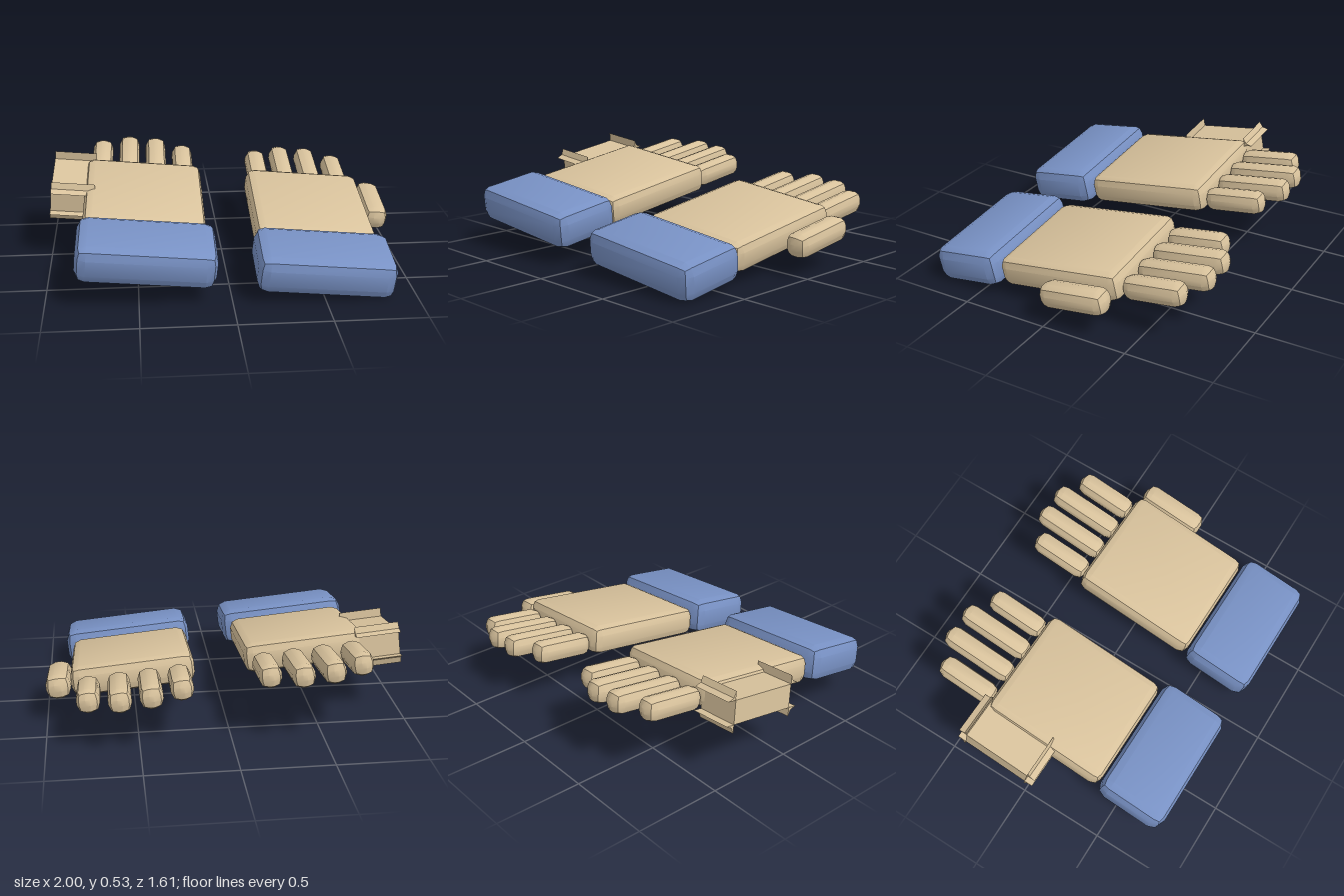
import * as THREE from 'three';
import { toCreasedNormals } from 'three/addons/utils/BufferGeometryUtils.js';
import { RoundedBoxGeometry } from 'three/addons/geometries/RoundedBoxGeometry.js';

export function createModel() {
  const root = new THREE.Group();
  root.name = 'pairOfGloves';

  const leather = new THREE.MeshStandardMaterial({ color: 0xd8c29c });
  leather.name = 'tan leather';
  const cloth = new THREE.MeshStandardMaterial({ color: 0x7891c4 });
  cloth.name = 'blue cuff';

  // Every part shares the same lean: fingers up, left side down
  const place = (parent, name, object, x, y, z) => {
    object.name = name;
    object.position.set(x, y, z);
    object.rotation.set(0.15, 0, -0.093, 'ZYX');
    parent.add(object);
  };

  // Soft box with a two-step bevel, creased along the middle of the bevel
  const pad = (w, h, d, r, material) =>
    new THREE.Mesh(toCreasedNormals(new RoundedBoxGeometry(w, h, d, 1, r), Math.PI / 6), material);

  // Square thumb: a plain block with a flared flange along each crosswise edge
  const flangedBlock = (w, h, d, flare) => {
    const block = new THREE.Group();
    const core = new THREE.Mesh(new THREE.BoxGeometry(w, h, d), leather);
    core.name = 'thumbBlock';
    block.add(core);
    for (const sz of [-1, 1]) {
      for (const sy of [-1, 1]) {
        const at = (a, b) => new THREE.Vector2(sz * (d / 2 + a * flare), sy * (h / 2 + b * flare));
        const profile = new THREE.Shape([at(0, 0), at(0, 1), at(0.3, 0.3), at(1, 0)]);
        const geo = new THREE.ExtrudeGeometry(profile, { depth: w, bevelEnabled: false });
        geo.translate(0, 0, -w / 2).rotateY(Math.PI / 2);
        const flange = new THREE.Mesh(geo, leather);
        flange.name = 'thumbFlange';
        block.add(flange);
      }
    }
    return block;
  };

  const glove = (name, x, y) => {
    const g = new THREE.Group();
    g.name = name;
    g.position.set(x, y, 0);
    root.add(g);

    place(g, 'cuff', pad(0.755, 0.21, 0.41, 0.06, cloth), 0, 0.157, 0.594);
    place(g, 'palm', pad(0.688, 0.168, 0.757, 0.05, leather), 0, 0.228, 0.007);

    // Four fingers, the middle two longer
    for (let i = 0; i < 4; i++) {
      const inner = i === 1 || i === 2;
      const fx = -0.242 + i * 0.165;
      const fz = inner ? -0.584 : -0.546;
      const fy = 0.291 - 0.093 * fx - 0.15 * (fz + 0.548);
      place(g, 'finger' + (i + 1), pad(0.124, 0.13, inner ? 0.444 : 0.36, 0.05, leather), fx, fy, fz);
    }
    return g;
  };

  const left = glove('leftGlove', 0.51, 0);
  const right = glove('rightGlove', -0.455, 0.094);

  place(left, 'thumb', pad(0.137, 0.135, 0.402, 0.05, leather), 0.418, 0.195, -0.162);
  place(right, 'squareThumb', flangedBlock(0.25, 0.135, 0.4, 0.05), -0.408, 0.28, -0.165);

  return root;
}
